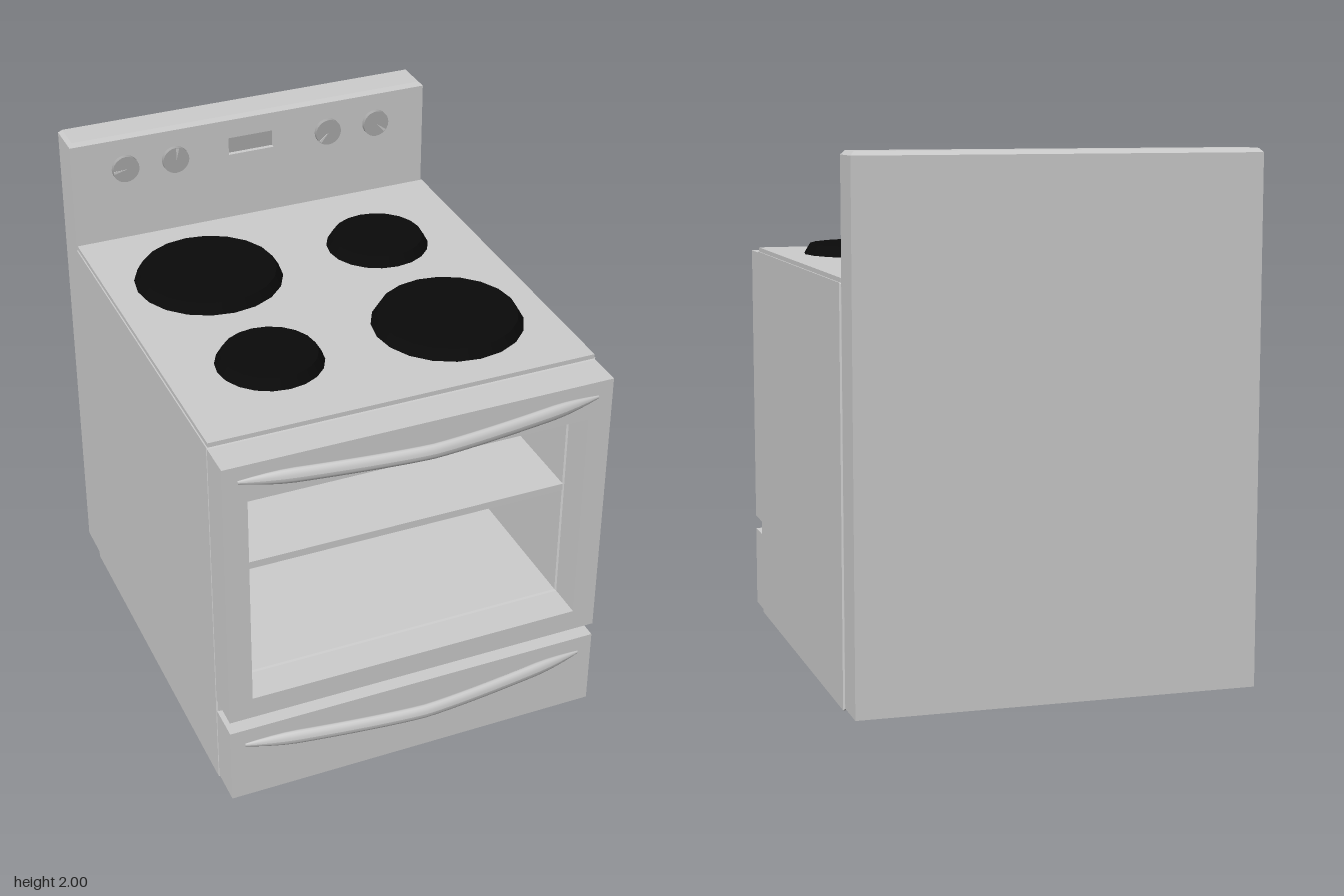
import * as THREE from 'three';

const grey = new THREE.MeshStandardMaterial({ color: 0xcccccc });
const dim = new THREE.MeshStandardMaterial({ color: 0xaaaaaa });
const black = new THREE.MeshStandardMaterial({ color: 0x0a0a0a });

function add(parent, name, geometry, material = grey) {
  const mesh = new THREE.Mesh(geometry, material);
  mesh.name = name;
  parent.add(mesh);
  return mesh;
}

// Box given by its minimum and maximum corners
function box(x0, x1, y0, y1, z0, z1) {
  return new THREE.BoxGeometry(x1 - x0, y1 - y0, z1 - z0)
    .translate((x0 + x1) / 2, (y0 + y1) / 2, (z0 + z1) / 2);
}

// Box whose top face is drawn in by a small chamfer
function taperedBox(x0, x1, y0, y1, z0, z1, inset) {
  const g = box(x0, x1, y0, y1, z0, z1).toNonIndexed();
  const p = g.attributes.position;
  const mid = (z0 + z1) / 2;
  for (let i = 0; i < p.count; i++) {
    if (p.getY(i) < (y0 + y1) / 2) continue;
    p.setX(i, p.getX(i) - Math.sign(p.getX(i)) * inset);
    p.setZ(i, p.getZ(i) - Math.sign(p.getZ(i) - mid) * inset);
  }
  g.computeVertexNormals();
  return g;
}

function rectangle(Type, x0, x1, y0, y1) {
  return new Type([[x0, y0], [x1, y0], [x1, y1], [x0, y1]].map(([x, y]) => new THREE.Vector2(x, y)));
}

// Rectangular frame extruded along z; outer and hole are [x0, x1, y0, y1]
function frame(outer, hole, z0, z1, bevel = 0) {
  const [a, b, c, d] = outer;
  const shape = rectangle(THREE.Shape, a + bevel, b - bevel, c + bevel, d - bevel);
  shape.holes.push(rectangle(THREE.Path, ...hole));
  return new THREE.ExtrudeGeometry(shape, {
    depth: z1 - z0 - 2 * bevel, bevelEnabled: bevel > 0,
    bevelSize: bevel, bevelThickness: bevel, bevelSegments: 1,
  }).translate(0, 0, z0 + bevel);
}

// Bowed handle with tapering ends: a cylinder laid along x and reshaped
function handleGeometry() {
  const g = new THREE.CylinderGeometry(1, 1, 1.41, 16, 28).rotateZ(Math.PI / 2);
  const p = g.attributes.position;
  for (let i = 0; i < p.count; i++) {
    const x = p.getX(i);
    const t = Math.abs(x) / 0.705;
    const size = t < 0.72 ? 1 : 1 - 0.8 * ((t - 0.72) / 0.28) ** 1.6;
    const bow = 0.951 - 0.086 * t ** 1.35;
    p.setY(i, p.getY(i) * 0.03 * size);
    p.setZ(i, bow + p.getZ(i) * 0.02 * size);
  }
  g.computeVertexNormals();
  return g;
}

export function createModel() {
  const stove = new THREE.Group();
  stove.name = 'stove';
  const opening = [-0.67, 0.67, 0.48, 1.38];

  // Hollow oven body, closed at the rear
  const body = new THREE.Group();
  body.name = 'ovenBody';
  stove.add(body);
  add(body, 'bodyShell', frame([-0.765, 0.765, 0, 1.54], opening, -0.81, 0.725, 0.006));
  add(body, 'ovenRearWall', box(-0.67, 0.67, 0.48, 1.38, -0.805, -0.7));
  add(body, 'ovenShelf', box(-0.66, 0.66, 0.975, 1.005, -0.7, 0.73));

  // Door frame and storage drawer, separated by a gap
  add(stove, 'ovenDoor', frame([-0.763, 0.763, 0.39, 1.535], opening, 0.722, 0.865));
  add(stove, 'drawer', box(-0.763, 0.763, 0.01, 0.335, 0.722, 0.865));
  const handle = handleGeometry();
  add(stove, 'doorHandle', handle).position.y = 1.47;
  add(stove, 'drawerHandle', handle).position.y = 0.263;

  // Cooktop plate and four burners
  add(stove, 'cooktop', box(-0.76, 0.76, 1.535, 1.557, -0.805, 0.72));
  for (const [x, z, r] of [
    [-0.36, -0.365, 0.292], [0.36, -0.365, 0.205],
    [-0.365, 0.303, 0.205], [0.36, 0.295, 0.292],
  ]) {
    const burner = add(stove, 'burner', new THREE.CylinderGeometry(r - 0.024, r, 0.04, 20), black);
    burner.position.set(x, 1.577, z);
  }

  // Upright control panel with a recessed display
  const panel = new THREE.Group();
  panel.name = 'controlPanel';
  stove.add(panel);
  const display = [-0.1, 0.095, 1.832, 1.906];
  add(panel, 'panelBack', box(-0.76, 0.76, 0.01, 1.985, -0.975, -0.84));
  add(panel, 'panelFront', frame([-0.76, 0.76, 0.01, 1.985], display, -0.84, -0.817));
  add(panel, 'panelCap', taperedBox(-0.76, 0.76, 1.985, 2, -0.975, -0.817, 0.014));
  add(panel, 'display', box(...display, -0.842, -0.836), dim);

  // Knobs, each with a thin pointer wedge turned to its setting
  for (const [x, degrees] of [[-0.54, 188], [-0.33, 82], [0.33, 225], [0.543, -43]]) {
    const knob = new THREE.Group();
    knob.name = 'knob';
    knob.position.set(x, 1.86, -0.817);
    panel.add(knob);
    add(knob, 'knobDial', new THREE.CylinderGeometry(0.055, 0.055, 0.018, 24)
      .rotateX(Math.PI / 2).translate(0, 0, 0.009), dim);
    const wedge = new THREE.Shape([[0, 0], [0.052, -0.006], [0.052, 0.006]]
      .map(([px, py]) => new THREE.Vector2(px, py)));
    const pointer = add(knob, 'knobPointer',
      new THREE.ExtrudeGeometry(wedge, { depth: 0.003, bevelEnabled: false }));
    pointer.position.z = 0.017;
    pointer.rotation.z = THREE.MathUtils.degToRad(degrees);
  }
  return stove;
}
